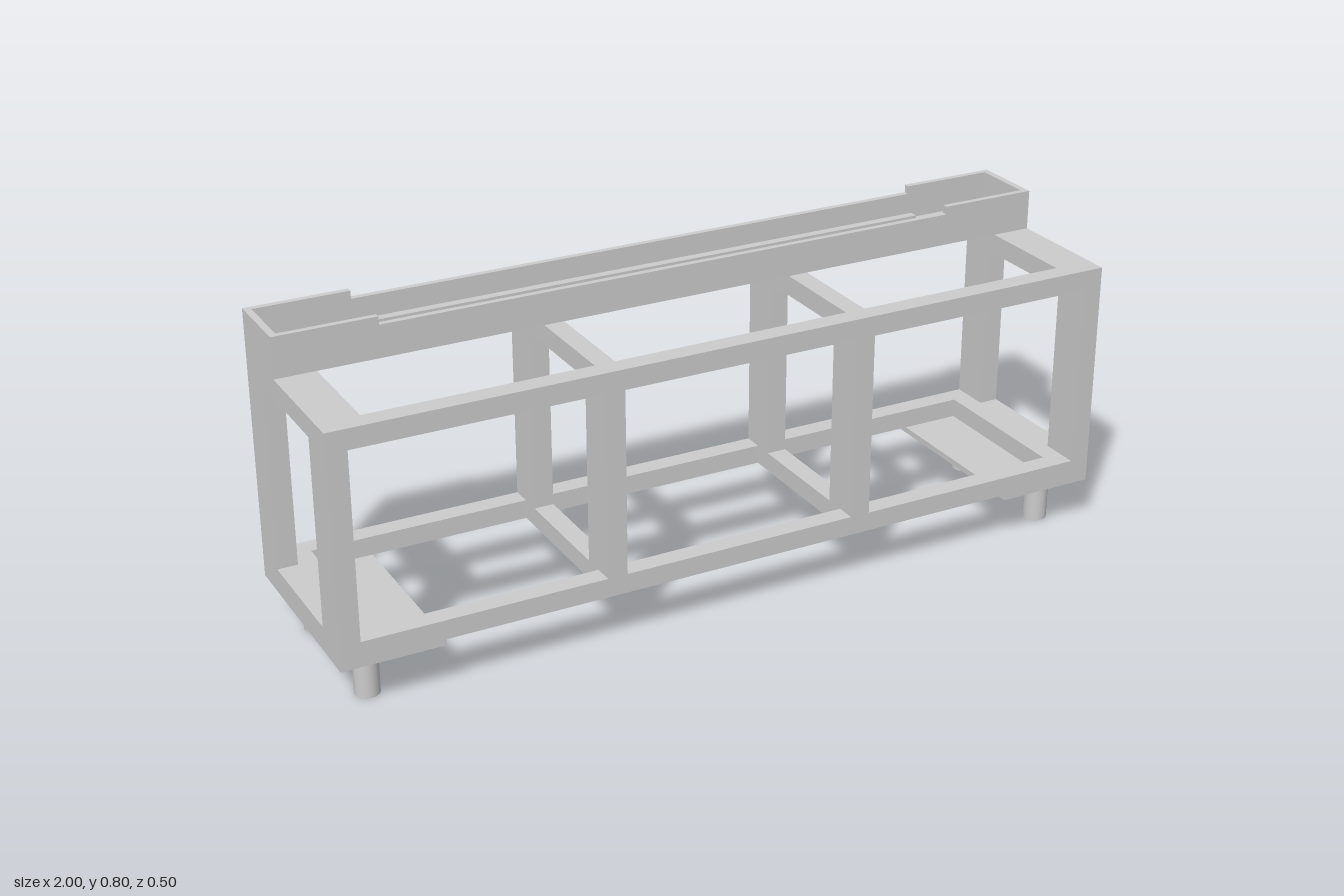
import * as THREE from 'three';

const material = new THREE.MeshStandardMaterial({ color: 0xcccccc, flatShading: true });
const smooth = new THREE.MeshStandardMaterial({ color: 0xcccccc });

export function createModel() {
  const model = new THREE.Group();
  model.name = 'benchFrame';

  // Box given by its bounds on each axis
  const box = (name, x0, x1, y0, y1, z0, z1) => {
    const mesh = new THREE.Mesh(new THREE.BoxGeometry(x1 - x0, y1 - y0, z1 - z0), material);
    mesh.position.set((x0 + x1) / 2, (y0 + y1) / 2, (z0 + z1) / 2);
    mesh.name = name;
    model.add(mesh);
  };
  // Same box, placed on the +x or -x side
  const sideBox = (s, name, x0, x1, ...rest) =>
    s > 0 ? box(name, x0, x1, ...rest) : box(name, -x1, -x0, ...rest);

  const base = 0.12, bottom = 0.135, low = 0.183, high = 0.645, top = 0.695;

  // Long rails, front and back, with their posts
  for (const s of [1, -1]) {
    const [z0, z1] = s > 0 ? [0.2, 0.25] : [-0.25, -0.2];
    const [p0, p1] = s > 0 ? [0.15, 0.25] : [-0.25, -0.15];
    box('lowerRail', -1, 1, bottom, low, z0, z1);
    box('upperRail', -1, 1, high, top, z0, z1);
    for (const t of [1, -1]) {
      sideBox(t, 'cornerPost', 0.95, 1, low, high, p0, p1);
      sideBox(t, 'middlePost', 0.3, 0.35, low, high, p0, p1);
    }
  }

  // Cross bars, base plates and feet at both ends
  for (const t of [1, -1]) {
    for (const [y0, y1] of [[bottom, low], [high, top]]) {
      sideBox(t, 'endBar', 0.9, 1, y0, y1, -0.2, 0.2);
      sideBox(t, 'crossBar', 0.3, 0.35, y0, y1, -0.2, 0.2);
    }
    sideBox(t, 'basePlate', 0.75, 1, base, bottom, -0.25, 0.25);
    for (const z of [0.163, -0.163]) {
      const foot = new THREE.Mesh(new THREE.CylinderGeometry(0.03, 0.03, base, 32), smooth);
      foot.position.set(t * 0.912, base / 2, z);
      foot.name = 'foot';
      model.add(foot);
    }
  }

  // Open tray along the back, its long walls lowered between the ends
  const floor = 0.71, rim = 0.795, lowRim = 0.775, back = -0.25, front = -0.062, wall = 0.015;
  box('trayFloor', -1, 1, top, floor, back, front);
  const wallShape = new THREE.Shape([
    [-1, floor], [1, floor], [1, rim], [0.75, rim],
    [0.75, lowRim], [-0.75, lowRim], [-0.75, rim], [-1, rim],
  ].map(([x, y]) => new THREE.Vector2(x, y)));
  for (const z of [back, front - wall]) {
    const side = new THREE.Mesh(
      new THREE.ExtrudeGeometry(wallShape, { depth: wall, bevelEnabled: false }), material);
    side.position.z = z;
    side.name = 'traySideWall';
    model.add(side);
  }
  for (const t of [1, -1])
    sideBox(t, 'trayEndWall', 0.983, 1, floor, rim, back + wall, front - wall);

  // Two long ridges on the tray floor
  box('trayRidge', -0.75, 0.75, floor, 0.73, -0.217, -0.195);
  box('trayRidge', -0.75, 0.75, floor, 0.73, -0.129, -0.105);

  return model;
}
